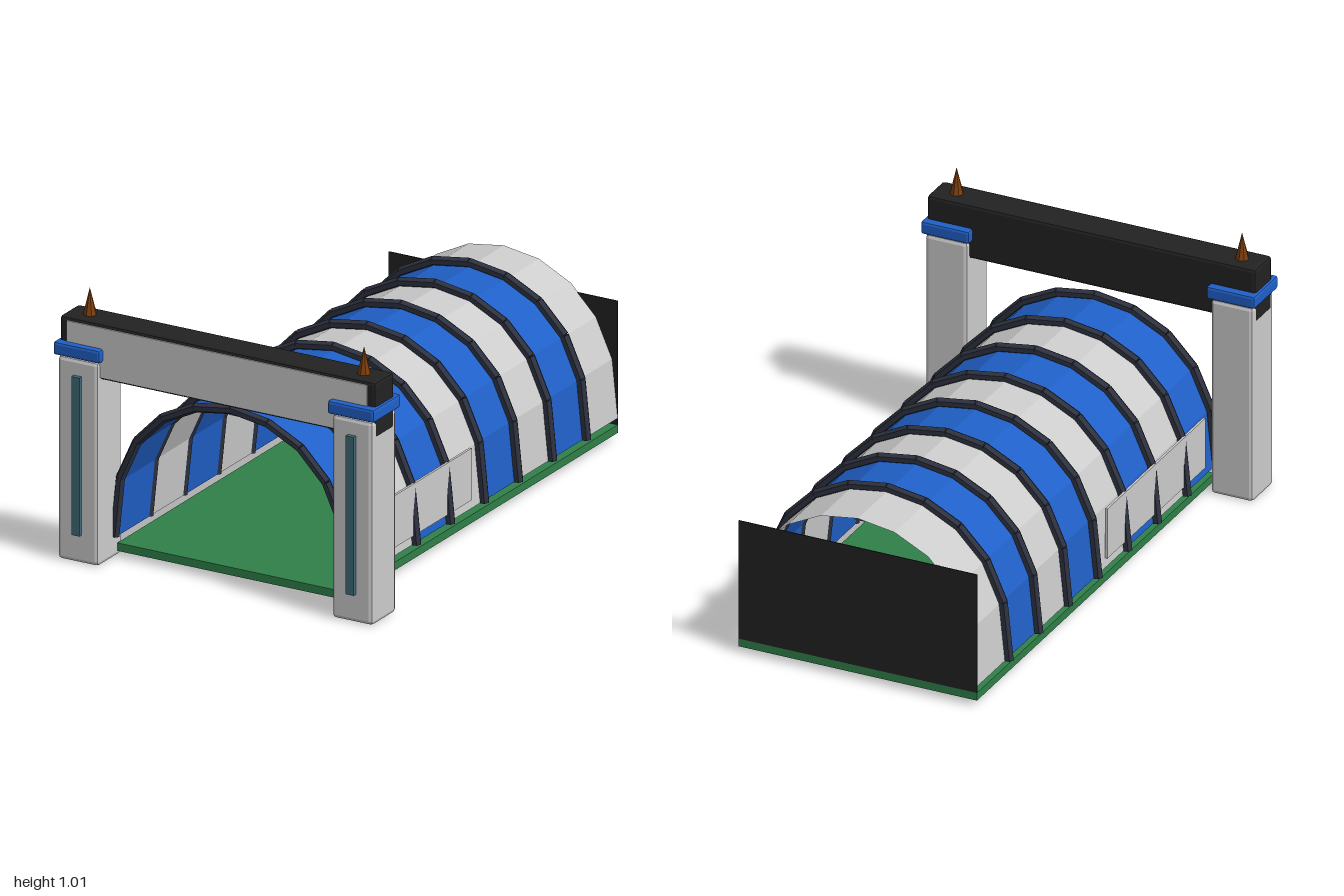
import * as THREE from 'three';
import { RoundedBoxGeometry } from 'three/addons/geometries/RoundedBoxGeometry.js';

const mat = (name, color, side = THREE.FrontSide) => {
  const m = new THREE.MeshStandardMaterial({ color, side });
  m.name = name;
  return m;
};

export function createModel() {
  const model = new THREE.Group();
  model.name = 'archedTunnel';

  const grey = mat('lightGrey', 0xcccccc, THREE.DoubleSide);
  const blue = mat('blue', 0x2060c8, THREE.DoubleSide);
  const black = mat('black', 0x222222);
  const slate = mat('slate', 0x2e3240);
  const teal = mat('teal', 0x406a76);
  const green = mat('green', 0x2f8048);
  const brown = mat('brown', 0x7d3e0c);

  // Unshared vertices give every face its own flat normal
  const flat = (geo) => {
    const g = geo.index ? geo.toNonIndexed() : geo;
    g.computeVertexNormals();
    return g;
  };
  const add = (name, geo, material, x = 0, y = 0, z = 0, parent = model) => {
    const mesh = new THREE.Mesh(geo, material);
    mesh.name = name;
    mesh.position.set(x, y, z);
    parent.add(mesh);
    return mesh;
  };
  const box = (w, h, d) => new THREE.BoxGeometry(w, h, d);
  const bevelBox = (w, h, d, r) => flat(new RoundedBoxGeometry(w, h, d, 1, r));

  const BACK = -1, FRONT = 0.867, BANDS = 8, SEGMENTS = 10, BASE = 0.08;
  const step = (FRONT - BACK) / BANDS;
  const middle = (FRONT + BACK) / 2;

  // Slightly squared arch, running from +x over the top to -x
  const arch = (halfWidth, height) =>
    Array.from({ length: SEGMENTS + 1 }, (_, i) => {
      const a = (i / SEGMENTS) * Math.PI;
      const s = Math.max(0, Math.sin(a));
      return new THREE.Vector3(halfWidth * Math.cos(a), BASE + height * (s < 1e-6 ? 0 : s ** 0.8), 0);
    });

  // Floor, back wall and ceiling light
  add('floor', box(0.93, 0.03, FRONT - BACK), green, 0, 0.04, middle);
  add('backWall', box(0.93, 0.465, 0.004), black, 0, 0.2875, BACK + 0.002);
  add('ceilingLight', box(0.04, 0.009, 1.84), teal, 0, 0.625, middle);

  // Shell bands in alternating colours
  const shell = arch(0.465, 0.555);
  for (let b = 0; b < BANDS; b++) {
    const z0 = FRONT - b * step, z1 = z0 - step;
    const pos = [];
    for (let i = 0; i < SEGMENTS; i++) {
      const p = shell[i], q = shell[i + 1];
      pos.push(p.x, p.y, z0, p.x, p.y, z1, q.x, q.y, z1);
      pos.push(p.x, p.y, z0, q.x, q.y, z1, q.x, q.y, z0);
    }
    const geo = new THREE.BufferGeometry();
    geo.setAttribute('position', new THREE.Float32BufferAttribute(pos, 3));
    add('shellBand', flat(geo), b % 2 ? grey : blue);
  }

  // Ribs of straight six-sided bars, one at the front edge of each band
  const ribPath = arch(0.475, 0.569);
  const bars = [];
  for (let i = 0; i < SEGMENTS; i++) {
    const p = ribPath[i], q = ribPath[i + 1];
    const geo = new THREE.CylinderGeometry(0.018, 0.018, p.distanceTo(q), 6);
    geo.rotateY(Math.PI / 2);
    geo.rotateZ(Math.atan2(q.y - p.y, q.x - p.x) - Math.PI / 2);
    geo.translate((p.x + q.x) / 2, (p.y + q.y) / 2, 0);
    bars.push(flat(geo));
  }
  for (let r = 0; r < BANDS; r++) {
    const rib = new THREE.Group();
    rib.name = 'rib';
    rib.position.z = FRONT - r * step;
    bars.forEach((g) => add('ribBar', g, slate, 0, 0, 0, rib));
    model.add(rib);
  }

  // Gate crossbeam with its front plate
  const GATE_Z = 0.9, PILLAR_X = 0.557;
  add('crossbeam', bevelBox(1.284, 0.21, 0.13, 0.012), black, 0, 0.802, GATE_Z);
  add('beamPlate', box(1.22, 0.188, 0.008), grey, 0, 0.801, GATE_Z + 0.066);

  for (const side of [-1, 1]) {
    const x = side * PILLAR_X;
    // Gate pillar, cap, light strip and spike
    add('pillar', bevelBox(0.166, 0.765, 0.166, 0.015), grey, x, 0.3825, GATE_Z);
    add('pillarCap', bevelBox(0.19, 0.05, 0.19, 0.01), blue, x, 0.792, GATE_Z);
    add('pillarLight', box(0.032, 0.595, 0.018), teal, x, 0.405, GATE_Z + 0.09);
    add('spike', flat(new THREE.ConeGeometry(0.026, 0.105, 8)), brown, x, 0.955, GATE_Z);
    // Side panel
    add('sidePanel', box(0.009, 0.195, 0.77), grey, side * 0.4665, 0.2125, 0.4);
  }

  return model;
}
